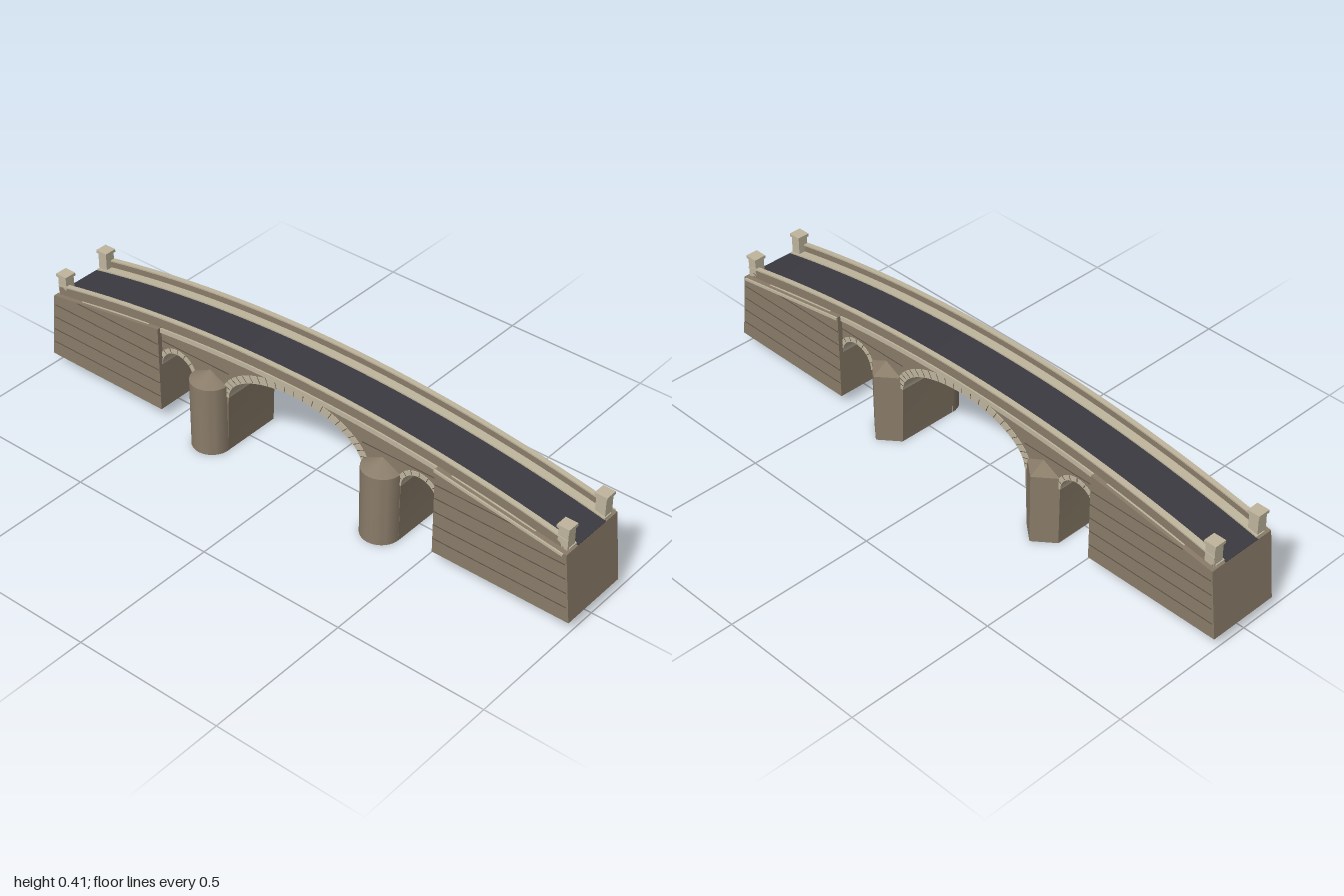
import * as THREE from 'three';
import { toCreasedNormals } from 'three/addons/utils/BufferGeometryUtils.js';

const mat = (name, color) => new THREE.MeshStandardMaterial({ name, color });
const ZC = -0.006; // centre line of the bridge

export function createModel() {
  const stone = mat('brown stone', 0x8a7c69);
  const pale = mat('pale dressed stone', 0xc0b69e);
  const asphalt = mat('asphalt', 0x3b3a41);
  const mortar = mat('mortar', 0x5d5549);
  const model = new THREE.Group();
  model.name = 'archBridge';

  const add = (name, geometry, material, parent = model) => {
    const m = new THREE.Mesh(geometry, material);
    m.name = name;
    parent.add(m);
    return m;
  };
  const box = (name, w, h, d, x, y, z, material) => {
    const m = add(name, new THREE.BoxGeometry(w, h, d), material);
    m.position.set(x, y, z);
    return m;
  };
  // Outline in x/y pushed from z0 to z1
  const slab = (name, points, z0, z1, material) => {
    const g = new THREE.ExtrudeGeometry(
      new THREE.Shape(points.map(([x, y]) => new THREE.Vector2(x, y))),
      { depth: z1 - z0, bevelEnabled: false });
    g.translate(0, 0, z0);
    return add(name, toCreasedNormals(g, 0.5), material);
  };

  // Humped deck line
  const deckY = (x) => 0.373 - 0.107 * x * x;
  const deckLine = (half, offset, n = 40) => Array.from({ length: n + 1 }, (_, i) => {
    const x = half - (2 * half * i) / n;
    return [x, deckY(x) + offset];
  });
  const band = (name, half, low, high, z0, z1, material) =>
    slab(name, [...deckLine(half, high), ...deckLine(half, low).reverse()], ZC + z0, ZC + z1, material);

  // Arches: half-ellipses from left to right
  const arches = [
    { name: 'leftSmallArch', cx: -0.4625, rx: 0.066, ry: 0.065, t: 0.014, n: 18, joints: 8 },
    { name: 'mainArch', cx: 0, rx: 0.258, ry: 0.127, t: 0.025, n: 36, joints: 24 },
    { name: 'rightSmallArch', cx: 0.4625, rx: 0.066, ry: 0.065, t: 0.014, n: 18, joints: 8 },
  ];
  const springY = 0.203;
  const arc = (a, grow) => Array.from({ length: a.n + 1 }, (_, i) => {
    const t = Math.PI * (1 - i / a.n);
    return [a.cx + (a.rx + grow) * Math.cos(t), springY + (a.ry + grow) * Math.sin(t)];
  });

  // Spandrel walls with pier legs
  slab('spandrelBody', [
    [-0.97, 0.2], ...arc(arches[0], 0), [-0.395, 0], [-0.266, 0],
    ...arc(arches[1], 0), [0.266, 0], [0.395, 0],
    ...arc(arches[2], 0), [0.97, 0.2], ...deckLine(0.97, -0.008),
  ], ZC - 0.105, ZC + 0.105, stone);

  // Arch rings and pale soffits, with radial joints
  for (const a of arches) {
    slab(a.name + 'Ring', [...arc(a, -0.002), ...arc(a, a.t).reverse()], ZC - 0.107, ZC + 0.107, pale);
    for (let i = 1; i < a.joints; i++) {
      const t = (Math.PI * i) / a.joints;
      const dx = (a.rx + a.t / 2) * Math.cos(t), dy = (a.ry + a.t / 2) * Math.sin(t);
      const joint = box(a.name + 'Joint', a.t, 0.002, 0.215, a.cx + dx, springY + dy, ZC, mortar);
      joint.rotation.z = Math.atan2(dy / a.ry, dx / a.rx);
    }
  }

  // Cutwater: plan outline raised to y = 0.24, with a cap sloping to the wall
  const cutwater = (name, plan, apex, x) => {
    const v = [], top = 0.24;
    for (let i = 0; i < plan.length - 1; i++) {
      const [ax, az] = plan[i], [bx, bz] = plan[i + 1];
      v.push(ax, 0, az, bx, 0, bz, bx, top, bz, ax, 0, az, bx, top, bz, ax, top, az);
      v.push(ax, top, az, bx, top, bz, 0, 0.272, apex);
      v.push(bx, 0, bz, ax, 0, az, 0, 0, apex);
    }
    const g = new THREE.BufferGeometry();
    g.setAttribute('position', new THREE.Float32BufferAttribute(v, 3));
    add(name, toCreasedNormals(g, 0.4), stone).position.x = x;
  };
  const front = ZC + 0.105, back = ZC - 0.105, r = 0.065;
  const round = Array.from({ length: 19 }, (_, i) => {
    const t = Math.PI * (1 - i / 18);
    return [r * Math.cos(t), front + r * Math.sin(t)];
  });
  for (const s of [-1, 1]) {
    cutwater('roundCutwater', round, front, s * 0.33);
    cutwater('pointedCutwater', [[r, back], [0, back - 0.053], [-r, back]], back, s * 0.33);
  }

  // Abutments with battered ends and masonry courses
  for (const s of [-1, 1]) {
    const pts = [[0.527, 0.04], [1, 0.04], [0.975, 0.27], [0.527, 0.339]].map(([x, y]) => [s * x, y]);
    slab('abutment', s > 0 ? pts : pts.reverse(), ZC - 0.1215, ZC + 0.1215, stone);
    for (const y of [0.09, 0.14, 0.188, 0.236, 0.284]) {
      const end = y > 0.27 ? 0.87 : 0.994 - (y - 0.04) * 0.109;
      for (const side of [-1, 1])
        box('abutmentCourse', end - 0.529, 0.003, 0.002, s * (0.529 + end) / 2, y, ZC + side * 0.1215, mortar);
    }
    for (const side of [-1, 1])
      box('spandrelCourse', 0.27, 0.003, 0.002, s * 0.39, 0.29, ZC + side * 0.105, mortar);
  }

  // Sloping pale strips on the left abutment
  for (const z of [-0.127, 0.1215])
    slab('abutmentStrip', [[0.527, 0.33], [0.965, 0.263], [0.965, 0.271], [0.527, 0.339]],
      ZC + z, ZC + z + 0.0055, pale);

  // Deck, string courses, pavements and parapets
  band('roadway', 0.975, -0.012, 0, -0.067, 0.067, asphalt);
  for (const s of [-1, 1]) {
    const strip = (name, half, low, high, a, b, material) =>
      band(name, half, low, high, Math.min(s * a, s * b), Math.max(s * a, s * b), material);
    strip('stringCourse', 0.97, -0.022, -0.006, 0.1, 0.111, pale);
    strip('pavement', 0.97, -0.012, 0.005, 0.066, 0.1, pale);
    strip('parapet', 0.965, -0.008, 0.028, 0.094, 0.106, stone);
    strip('coping', 0.967, 0.027, 0.032, 0.092, 0.108, pale);

    // End posts
    for (const e of [-1, 1]) {
      box('endPost', 0.034, 0.07, 0.034, e * 0.95, 0.302, ZC + s * 0.089, pale);
      box('endPostCap', 0.042, 0.01, 0.042, e * 0.95, 0.342, ZC + s * 0.089, pale);
    }
  }
  return model;
}
